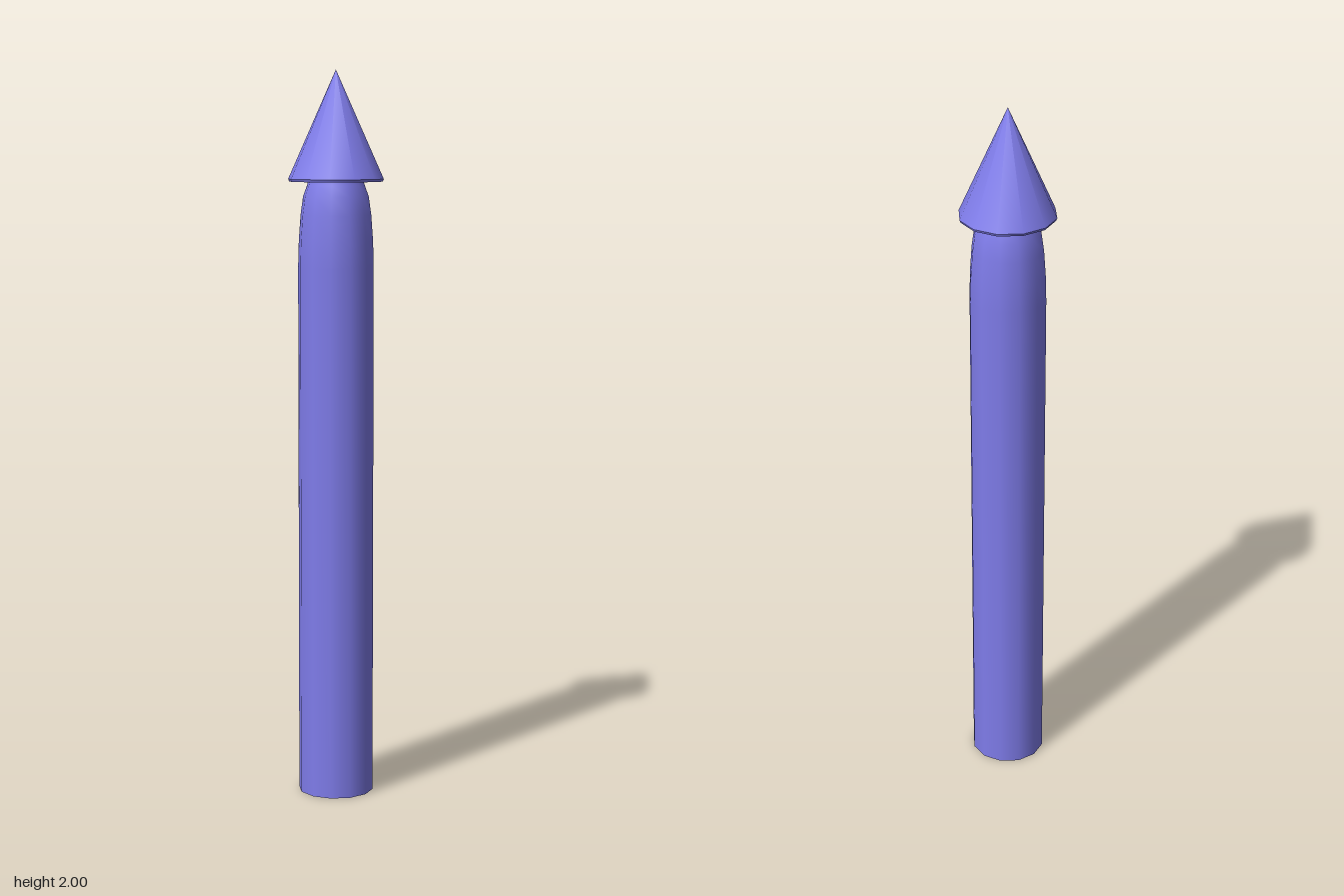
import * as THREE from 'three';

const SIDES = 12;

export function createModel() {
  const group = new THREE.Group();
  const material = new THREE.MeshStandardMaterial({ color: 0x7f7cea });

  const add = (name, geometry) => {
    const mesh = new THREE.Mesh(geometry, material);
    mesh.name = name;
    group.add(mesh);
    return mesh;
  };
  // Surface of revolution from [radius, height] pairs, listed bottom to top
  const lathe = (points) =>
    new THREE.LatheGeometry(points.map(([r, y]) => new THREE.Vector2(r, y)), SIDES);

  // Post: straight shaft with a rounded shoulder
  add('shaft', lathe([
    [0.104, 0], [0.104, 1.47], [0.102, 1.54], [0.097, 1.61], [0.09, 1.66], [0.079, 1.69], [0.075, 1.705],
  ]));
  add('shaftBase', lathe([[0, 0], [0.104, 0]]));

  // Pointed head with a thin rim and flat underside
  add('headCone', lathe([[0.131, 1.707], [0, 2]]));
  add('headRim', lathe([[0.128, 1.7], [0.131, 1.707]]));
  add('headUnderside', lathe([[0, 1.7], [0.128, 1.7]]));

  return group;
}
